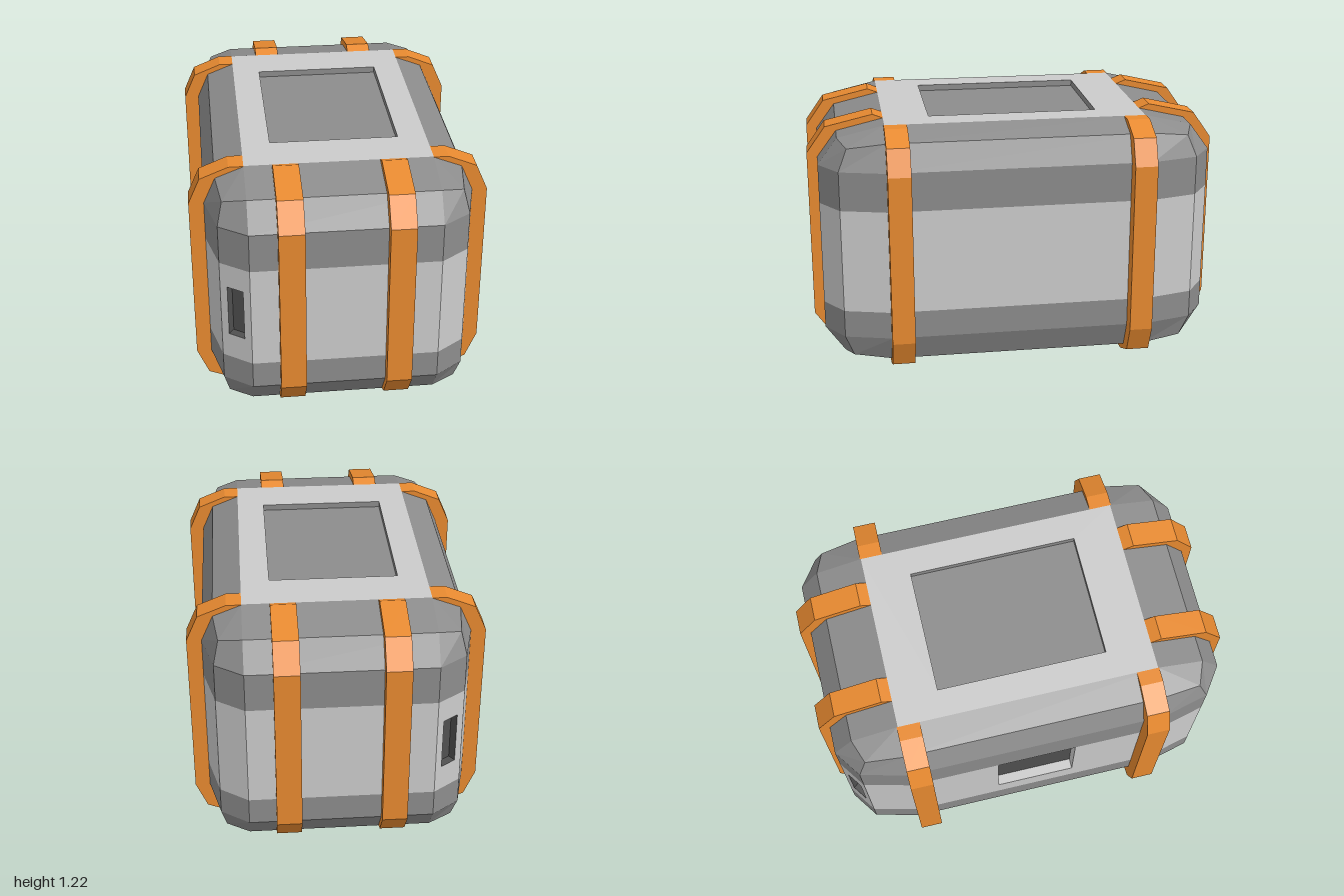
import * as THREE from 'three';

const mat = (color) => new THREE.MeshStandardMaterial({ color, flatShading: true });
const H = 1.2; // overall body height
// Flat face (x, z) and bevel mid / outer positions of the crate body
const X = [0.44, 0.55, 0.574, 0.63], Z = [0.63, 0.815, 0.856, 0.95];

// Mirror one corner's three points (front, middle, side) into a closed 12-point ring
function ring(corner) {
  const pts = [];
  for (const [sx, sz] of [[1, 1], [1, -1], [-1, -1], [-1, 1]]) {
    const c = corner.map(([x, y, z]) => new THREE.Vector3(x * sx, y, z * sz));
    pts.push(...(sx * sz > 0 ? c : c.reverse()));
  }
  return pts;
}
const wallRing = (y) => ring([[X[0], y, Z[3]], [X[2], y, Z[2]], [X[3], y, Z[0]]]);
const bevelRing = (f) => ring([[X[0], f(1.147), Z[2]], [X[1], f(1.124), Z[1]], [X[2], f(1.147), Z[0]]]);
const flatRing = (f) => ring([0, 1, 2].map(() => [X[0], f(H), Z[0]]));

// Skin between consecutive rings, lowest first, leaving out the listed segments
function skin(rings, skip = []) {
  const pos = [];
  const tri = (a, b, c) => {
    if (a.equals(b) || b.equals(c) || a.equals(c)) return;
    for (const p of [a, b, c]) pos.push(p.x, p.y, p.z);
  };
  for (let r = 0; r + 1 < rings.length; r++) {
    for (let i = 0; i < 12; i++) {
      if (skip.includes(i)) continue;
      const j = (i + 1) % 12, lo = rings[r], up = rings[r + 1];
      tri(lo[i], lo[j], up[j]);
      tri(lo[i], up[j], up[i]);
    }
  }
  const g = new THREE.BufferGeometry();
  g.setAttribute('position', new THREE.Float32BufferAttribute(pos, 3));
  g.computeVertexNormals();
  return g;
}

// Flat panel facing +z with a rectangular recess [x0, y0, x1, y1]
function recessedPanel(name, w, h, [x0, y0, x1, y1], depth, face, wall, floor) {
  const rect = (P, a, b, c, d) => new P([[a, b], [c, b], [c, d], [a, d]].map((p) => new THREE.Vector2(...p)));
  const shape = rect(THREE.Shape, -w / 2, -h / 2, w / 2, h / 2);
  shape.holes.push(rect(THREE.Path, x0, y0, x1, y1));
  const g = new THREE.ExtrudeGeometry(shape, { depth, bevelEnabled: false }).translate(0, 0, -depth);
  const group = new THREE.Group();
  group.name = name;
  const panel = new THREE.Mesh(g, [face, wall]);
  panel.name = name + 'Frame';
  const base = new THREE.Mesh(new THREE.PlaneGeometry(x1 - x0, y1 - y0), floor);
  base.name = name + 'Floor';
  base.position.set((x0 + x1) / 2, (y0 + y1) / 2, -depth);
  group.add(panel, base);
  return group;
}

// Strap outline extruded symmetrically about its own centre
function strapGeometry(points, width) {
  const shape = new THREE.Shape(points.map((p) => new THREE.Vector2(...p)));
  return new THREE.ExtrudeGeometry(shape, { depth: width, bevelEnabled: false }).translate(0, 0, -width / 2);
}

export function createModel() {
  const model = new THREE.Group();
  model.name = 'strappedCrate';
  const light = mat(0xcccccc), dark = mat(0x8c8c8c), black = mat(0x505050), orange = mat(0xe88a30);
  const add = (name, geometry, material) => {
    const m = new THREE.Mesh(geometry, material);
    m.name = name;
    model.add(m);
    return m;
  };

  // Body: dark bevelled caps and bands around a light middle
  const up = (y) => y, down = (y) => H - y;
  add('upperShell', skin([wallRing(0.83), wallRing(1.02), bevelRing(up), flatRing(up)]), dark);
  add('lowerShell', skin([flatRing(down), bevelRing(down), wallRing(0.185), wallRing(0.32)]), dark);
  add('middleWall', skin([wallRing(0.32), wallRing(0.83)], [6, 8, 10]), light);
  add('base', new THREE.PlaneGeometry(2 * X[0], 2 * Z[0]).rotateX(Math.PI / 2), dark);

  // Top panel with a shallow tray
  const top = recessedPanel('topPanel', 2 * X[0], 2 * Z[0], [-0.305, -0.41, 0.305, 0.41], 0.03, light, dark, dark);
  top.rotation.x = -Math.PI / 2;
  top.position.y = H;
  model.add(top);

  // Side wall with a recessed window
  const side = recessedPanel('windowPanel', 2 * Z[0], 0.51, [-0.195, -0.135, 0.195, 0.25], 0.05, light, light, black);
  side.rotation.y = -Math.PI / 2;
  side.position.set(-X[3], 0.575, 0);
  model.add(side);

  // Corner walls with a narrow slot, front and back
  const dx = X[2] - X[0], dz = Z[3] - Z[2];
  for (const s of [1, -1]) {
    const slot = recessedPanel('slotPanel', Math.hypot(dx, dz), 0.51, [-0.043, -0.125, 0.043, 0.135], 0.04, light, black, black);
    slot.rotation.y = Math.atan2(-dz, s * dx);
    slot.position.set(-(X[0] + X[2]) / 2, 0.575, s * (Z[2] + Z[3]) / 2);
    model.add(slot);
  }

  // Straps on the long sides
  const sideStrap = strapGeometry([
    [0.44, 0], [0.51, 0], [0.645, 0.055], [0.7, 0.185], [0.7, 1.02], [0.645, 1.145],
    [0.51, 1.2], [0.44, 1.2], [0.58, 1.0], [0.58, 0.2],
  ], 0.11);
  // Straps on the front and back
  const endStrap = strapGeometry([
    [0.86, 0.055], [0.91, 0.078], [1.0, 0.205], [1.0, 1.04], [0.91, 1.167],
    [0.68, 1.22], [0.63, 1.2], [0.88, 1.0], [0.88, 0.2],
  ], 0.12);
  for (const a of [1, -1]) {
    for (const b of [1, -1]) {
      const s = add('sideStrap', sideStrap, orange);
      s.rotation.y = a > 0 ? 0 : Math.PI;
      s.position.z = 0.58 * b;
      const e = add('endStrap', endStrap, orange);
      e.rotation.y = -a * Math.PI / 2;
      e.position.x = 0.25 * b;
    }
  }
  return model;
}
